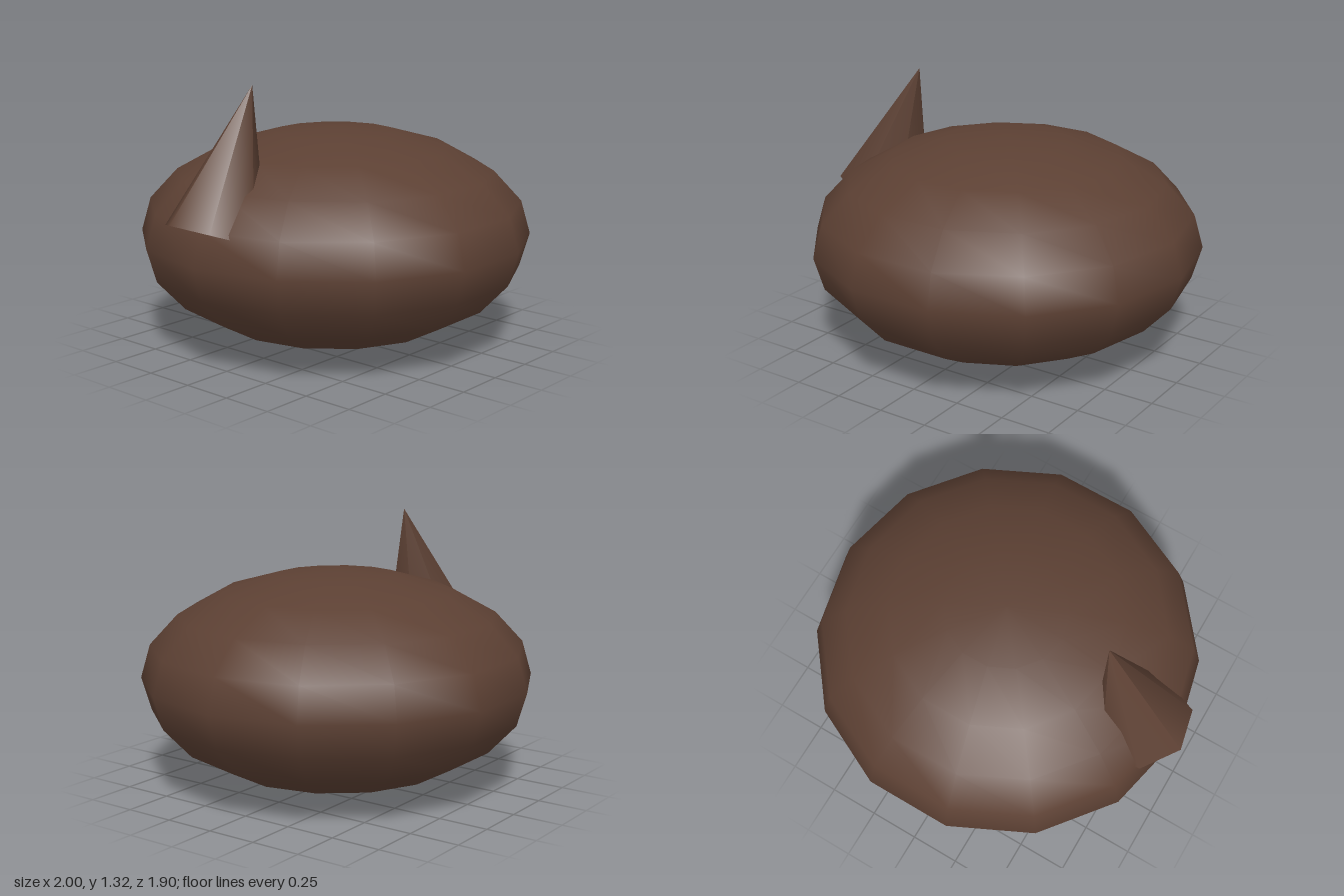
import * as THREE from 'three';

export function createModel() {
  const model = new THREE.Group();
  const brown = new THREE.MeshStandardMaterial({ color: 0x5c4033 });

  // Flattened round body
  const body = new THREE.Mesh(new THREE.SphereGeometry(0.975, 14, 10), brown);
  body.name = 'body';
  body.scale.y = 0.55;
  body.position.set(0.024, 0.538, 0);
  model.add(body);

  // Seven-sided spike sunk into the right side, leaning inwards
  const tip = new THREE.Vector3(-0.525, 1.325, -0.03);
  const base = new THREE.Vector3(-0.77, 0.648, -0.04);
  const axis = tip.clone().sub(base);
  const spike = new THREE.Mesh(new THREE.ConeGeometry(0.25, axis.length(), 7), brown);
  spike.name = 'spike';
  spike.position.copy(base).add(tip).multiplyScalar(0.5);
  spike.quaternion.setFromUnitVectors(new THREE.Vector3(0, 1, 0), axis.normalize());
  model.add(spike);

  return model;
}
